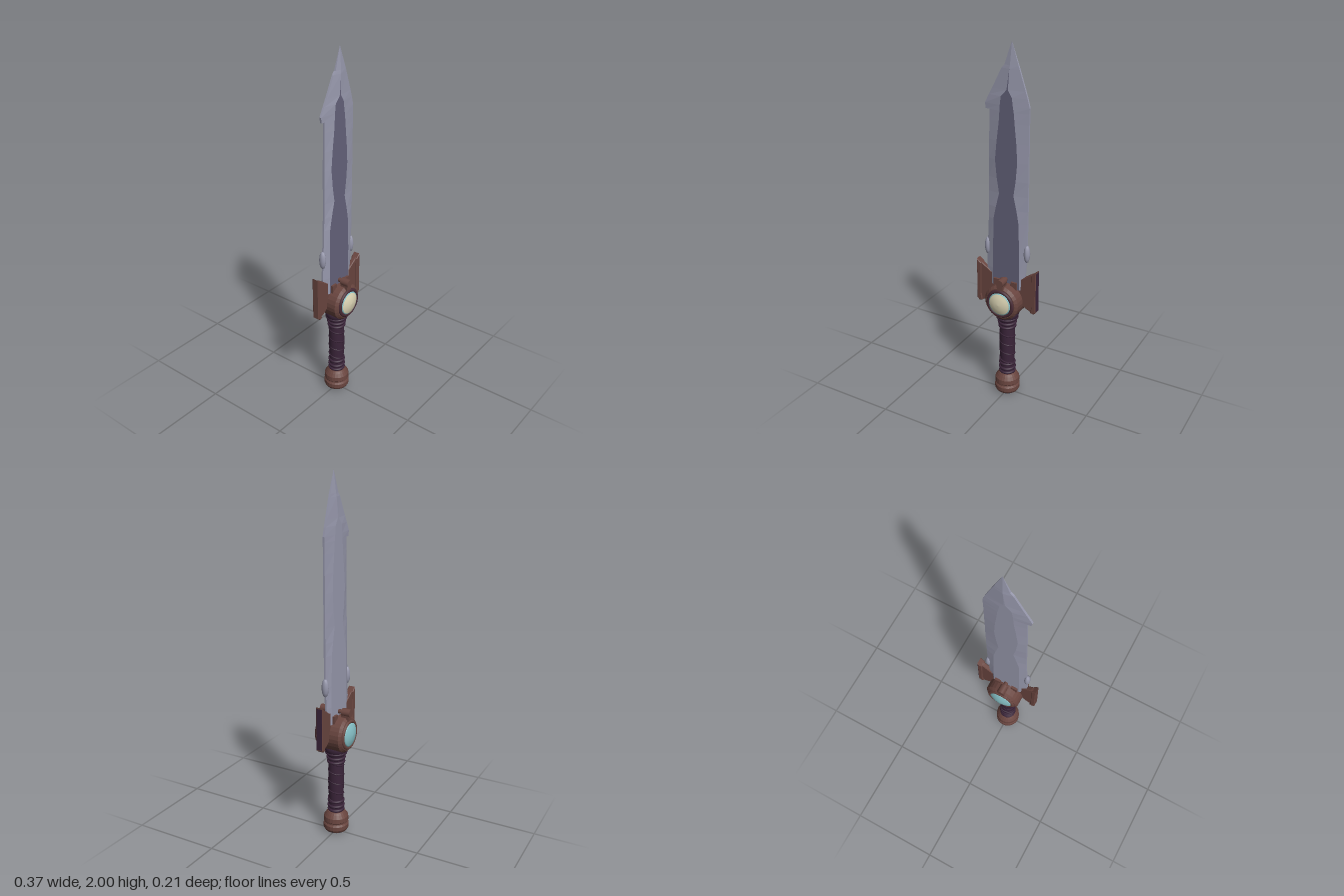
import * as THREE from 'three';

const mat = (name, color, side = THREE.FrontSide) => {
  const m = new THREE.MeshStandardMaterial({ color, side });
  m.name = name;
  return m;
};

export function createModel() {
  const steel = mat('steel', 0x9899ad, THREE.DoubleSide);
  const darkSteel = mat('darkSteel', 0x64627a, THREE.DoubleSide);
  const bronze = mat('bronze', 0x69453f);
  const maroon = mat('maroon', 0x4a2c36);
  const leather = mat('leather', 0x3a2439);
  const cream = mat('cream', 0xdbd4b4);
  const teal = mat('teal', 0x86c0c6);
  const capBlue = mat('capBlue', 0x66728c);

  const root = new THREE.Group();
  root.name = 'sword';
  const add = (name, geo, material, x = 0, y = 0, z = 0, parent = root) => {
    const m = new THREE.Mesh(geo, material);
    m.name = name;
    m.position.set(x, y, z);
    parent.add(m);
    return m;
  };
  const lathe = (pts, seg = 24) =>
    new THREE.LatheGeometry(pts.map(p => new THREE.Vector2(p[0], p[1])), seg);
  // lathe drawn without smoothing across its profile corners
  const hardLathe = (pts, seg) => {
    const g = lathe(pts, seg).toNonIndexed();
    g.computeVertexNormals();
    return g;
  };
  const plate = (pts, depth, bevel) => {
    const g = new THREE.ExtrudeGeometry(
      new THREE.Shape(pts.map(p => new THREE.Vector2(p[0], p[1]))),
      { depth: depth - 2 * bevel, bevelEnabled: true, bevelThickness: bevel, bevelSize: bevel, bevelOffset: -bevel, bevelSegments: 1 });
    g.translate(0, 0, -depth / 2 + bevel);
    return g;
  };

  // Blade rows: height, left edge, right edge, flat left, flat right, half thickness
  const rows = [
    [0.68, -0.11, 0.10, -0.08, 0.08, 0.017],
    [0.78, -0.123, 0.112, -0.08, 0.08, 0.017],
    [0.90, -0.118, 0.12, -0.078, 0.08, 0.017],
    [1.07, -0.11, 0.122, -0.075, 0.075, 0.017],
    [1.14, -0.108, 0.123, -0.06, 0.063, 0.017],
    [1.22, -0.107, 0.123, -0.04, 0.045, 0.017],
    [1.30, -0.106, 0.124, -0.053, 0.057, 0.017],
    [1.40, -0.105, 0.124, -0.063, 0.066, 0.017],
    [1.50, -0.103, 0.125, -0.053, 0.06, 0.017],
    [1.60, -0.101, 0.125, -0.04, 0.05, 0.017],
    [1.655, -0.10, 0.126, -0.036, 0.045, 0.017],
    [1.656, -0.121, 0.126, -0.036, 0.045, 0.017],
    [1.685, -0.126, 0.127, -0.034, 0.04, 0.017],
    [1.73, -0.102, 0.115, -0.028, 0.034, 0.017],
    [1.765, -0.083, 0.104, 0.004, 0.012, 0.017],
    [1.868, -0.03, 0.07, 0.018, 0.018, 0.013],
    [1.885, -0.014, 0.064, 0.02, 0.02, 0.011],
    [2.0, 0.025, 0.025, 0.025, 0.025, 0]
  ];
  const section = ([y, l, r, fl, fr, t]) => {
    const e = Math.min(t, 0.005);
    return [[l, y, e], [fl, y, t], [fr, y, t], [r, y, e],
      [r, y, -e], [fr, y, -t], [fl, y, -t], [l, y, -e]];
  };
  const bladeStrips = (columns) => {
    const pos = [];
    for (let i = 0; i < rows.length - 1; i++) {
      const lo = section(rows[i]), hi = section(rows[i + 1]);
      for (const j of columns) {
        const k = (j + 1) % 8;
        pos.push(...lo[j], ...lo[k], ...hi[k], ...lo[j], ...hi[k], ...hi[j]);
      }
    }
    const g = new THREE.BufferGeometry();
    g.setAttribute('position', new THREE.Float32BufferAttribute(pos, 3));
    g.computeVertexNormals();
    return g;
  };
  add('blade', bladeStrips([0, 2, 3, 4, 5, 6, 7]), steel);
  add('bladeInlay', bladeStrips([1]), darkSteel);

  // Small faceted studs on the blade edges
  for (const [x, y] of [[-0.119, 0.9], [0.118, 0.9]]) {
    const stud = add('bladeStud', new THREE.SphereGeometry(1, 10, 6), steel, x, y, 0);
    stud.scale.set(0.017, 0.052, 0.02);
  }

  // Round guard hub, axis running front to back
  const hubY = 0.608;
  const hub = new THREE.Group();
  hub.name = 'guardHub';
  hub.position.y = hubY;
  root.add(hub);
  add('hubBody', hardLathe([[0, -0.08], [0.088, -0.08], [0.102, -0.066], [0.102, 0.066], [0.088, 0.08], [0, 0.08]], 28),
    bronze, 0, 0, 0, hub).rotation.x = Math.PI / 2;
  for (const s of [1, -1]) {
    const rim = add('gemRim', new THREE.TorusGeometry(0.073, 0.011, 8, 32), s > 0 ? maroon : bronze, 0, 0, s * 0.079, hub);
    rim.name = s > 0 ? 'frontGemRim' : 'backGemRim';
    const gem = new THREE.Group();
    gem.name = s > 0 ? 'frontGem' : 'backGem';
    gem.rotation.x = s * Math.PI / 2;
    hub.add(gem);
    add('gemEdge', lathe([[0.066, 0.078], [0.066, 0.088], [0.06, 0.091]], 28), teal, 0, 0, 0, gem);
    add('gemFace', lathe([[0.06, 0.091], [0.045, 0.097], [0.025, 0.103], [0, 0.105]], 28), s > 0 ? cream : teal, 0, 0, 0, gem);

    // Clamp pegs that hold the blade
    add('clampPeg', new THREE.CylinderGeometry(0.022, 0.022, 0.05, 14), bronze, 0, 0.732, s * 0.065).rotation.x = Math.PI / 2;
    add('clampFoot', new THREE.BoxGeometry(0.036, 0.05, 0.044), bronze, 0, 0.705, s * 0.062);
    add('clampPin', new THREE.CylinderGeometry(0.012, 0.012, 0.04, 10), bronze, 0, 0.732, s * 0.03).rotation.x = Math.PI / 2;
    for (const x of [-0.052, 0.052])
      add('bladeBracket', new THREE.BoxGeometry(0.036, 0.07, 0.014), bronze, x, 0.69, s * 0.022);
  }

  // Wing-shaped crossguards with thicker outer bars
  const wing = [[0.172, 0.575], [0.155, 0.56], [0.12, 0.575], [0.09, 0.6], [0.03, 0.64], [0.03, 0.71],
    [0.07, 0.76], [0.095, 0.752], [0.118, 0.768], [0.15, 0.79], [0.172, 0.8]];
  const bar = [[0.182, 0.568], [0.168, 0.556], [0.15, 0.562], [0.157, 0.6], [0.155, 0.79], [0.182, 0.812]];
  for (const s of [1, -1]) {
    const mirror = pts => pts.map(([x, y]) => [s * x, y]);
    const side = s > 0 ? 'left' : 'right';
    add(side + 'Wing', plate(mirror(wing), 0.026, 0.004), bronze);
    add(side + 'WingBar', plate(mirror(bar), 0.04, 0.004), bronze);
  }
  add('leftWingFacing', new THREE.BoxGeometry(0.003, 0.232, 0.032), leather, 0.1815, 0.688, 0);

  // Collar, grip and its rings
  add('collar', lathe([[0.042, 0.44], [0.046, 0.47], [0.058, 0.495], [0.066, 0.515], [0.062, 0.54], [0, 0.545]]), leather);
  add('grip', lathe([[0.04, 0.11], [0.04, 0.2], [0.044, 0.3], [0.043, 0.4], [0.041, 0.46]]), leather);
  for (const [y, r] of [[0.14, 0.04], [0.165, 0.041], [0.195, 0.04], [0.435, 0.043], [0.46, 0.046], [0.49, 0.054]])
    add('gripRing', new THREE.TorusGeometry(r, 0.008, 8, 24), leather, 0, y, 0).rotation.x = Math.PI / 2;
  const helix = [];
  for (let i = 0; i <= 60; i++) {
    const t = i / 60, a = t * Math.PI * 8;
    helix.push(new THREE.Vector3(Math.cos(a) * 0.041, 0.2 + t * 0.23, Math.sin(a) * 0.041));
  }
  add('gripWrap', new THREE.TubeGeometry(new THREE.CatmullRomCurve3(helix), 140, 0.005, 6), leather);

  // Pommel with a cap underneath
  add('pommel', hardLathe([[0.05, 0.012], [0.064, 0.016], [0.071, 0.03], [0.071, 0.052], [0.064, 0.062], [0.064, 0.07],
    [0.07, 0.076], [0.068, 0.1], [0.056, 0.118], [0.046, 0.13], [0, 0.13]], 24), bronze);
  add('pommelCap', lathe([[0, 0], [0.035, 0.002], [0.056, 0.009], [0.061, 0.016]]), capBlue);
  return root;
}
